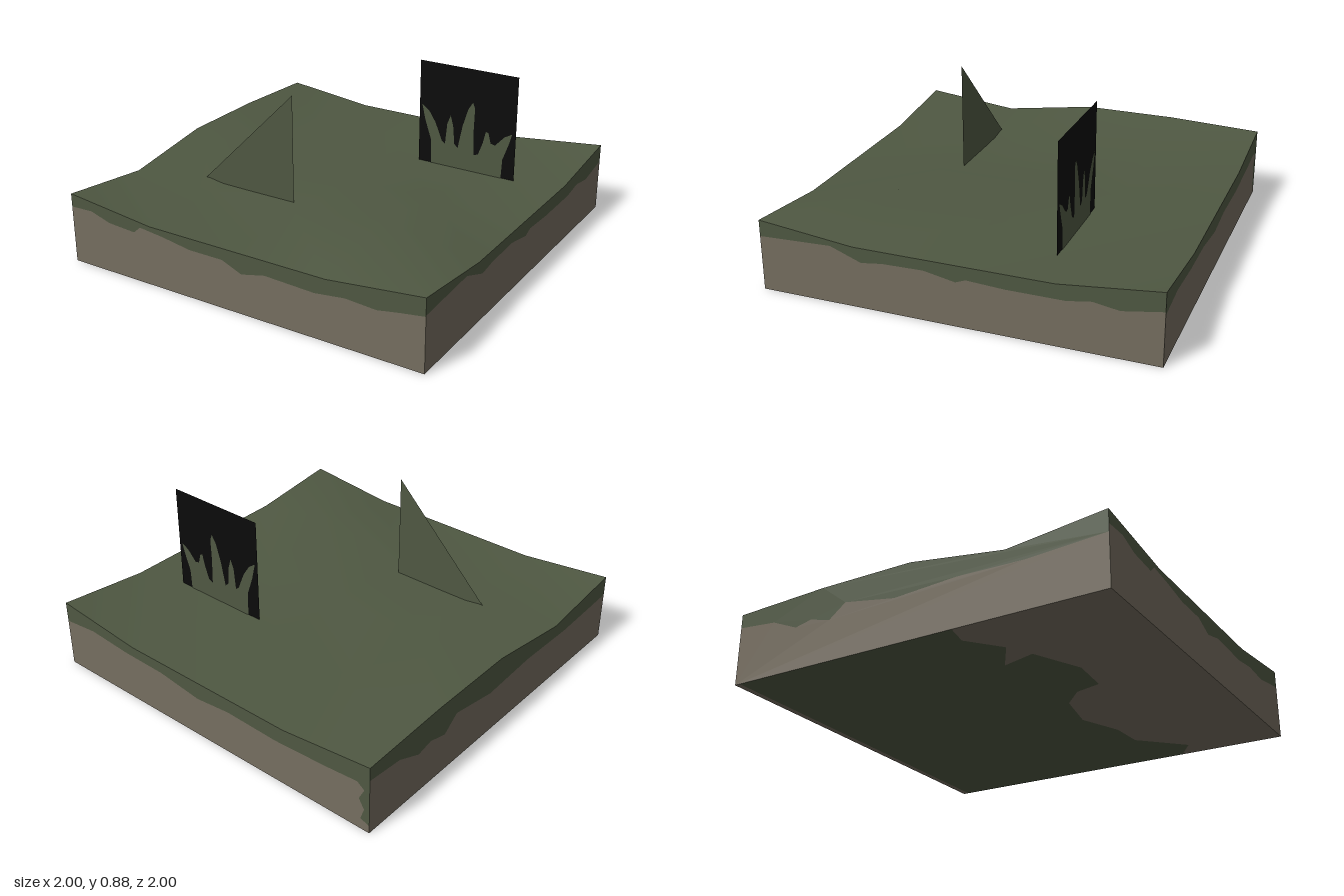
import * as THREE from 'three';

const mat = (name, color, side = THREE.FrontSide) => {
  const m = new THREE.MeshStandardMaterial({ color, side });
  m.name = name;
  return m;
};

// Ground height at grid points spaced 0.5 apart
function height(x, z) {
  const X = Math.round(x * 2), Z = Math.round(z * 2);
  if (Math.abs(X) === 2 && Math.abs(Z) === 2) return 0.37;
  if (X === -2 && (Z === 0 || Z === -1)) return 0.39;
  if (X === 1 && Z === 1) return 0.403;
  return 0.315;
}

const shape = pts => new THREE.ShapeGeometry(new THREE.Shape(pts.map(p => new THREE.Vector2(p[0], p[1]))));

export function createModel() {
  const model = new THREE.Group();
  const grass = mat('grass green', 0x4f5842);
  const sheet = mat('leaf green', 0x4f5842, THREE.DoubleSide);
  const dirt = mat('earth brown', 0x766e60);
  const black = mat('black', 0x0a0a0a, THREE.DoubleSide);

  const add = (name, geometry, material, parent = model) => {
    const mesh = new THREE.Mesh(geometry, material);
    mesh.name = name;
    parent.add(mesh);
    return mesh;
  };

  // Rolling turf on a 4 x 4 grid
  const turf = new THREE.PlaneGeometry(2, 2, 4, 4).rotateX(-Math.PI / 2).rotateY(Math.PI / 2);
  const pos = turf.attributes.position;
  for (let i = 0; i < pos.count; i++) pos.setY(i, height(pos.getX(i), pos.getZ(i)));
  turf.computeVertexNormals();
  add('turf', turf, grass);

  // Walls: earth below a ragged line, grass above it, drawn left to right as seen from outside
  const walls = [
    { name: 'front', turn: 0, line: [[-1, 0.30], [-0.87, 0.305], [-0.76, 0.27], [-0.6, 0.26], [-0.56, 0.295],
      [-0.42, 0.28], [-0.26, 0.255], [-0.07, 0.255], [0.04, 0.21], [0.17, 0.24], [0.44, 0.23], [0.6, 0.25],
      [0.76, 0.24], [0.87, 0.26], [1, 0.28]] },
    { name: 'left', turn: Math.PI / 2, line: [[-1, 0.285], [-0.62, 0.3], [-0.46, 0.24], [-0.35, 0.255], [-0.14, 0.26],
      [0.02, 0.23], [0.07, 0.25], [0.26, 0.24], [0.55, 0.24], [0.67, 0.26], [0.8, 0.24], [1, 0.275]] },
    { name: 'back', turn: Math.PI, line: [[-1, 0.26], [-0.8, 0.28], [-0.55, 0.26], [-0.3, 0.255], [-0.05, 0.22],
      [0.15, 0.24], [0.45, 0.23], [0.75, 0.245], [0.93, 0.26], [0.97, 0.23], [0.94, 0.17], [0.97, 0.12], [0.95, 0.06], [1, 0.04]] },
    { name: 'right', turn: -Math.PI / 2, line: [[-1, 0.3], [-0.79, 0.28], [-0.65, 0.22], [-0.56, 0.24], [-0.45, 0.21],
      [-0.36, 0.28], [-0.08, 0.23], [0.25, 0.25], [0.6, 0.24], [1, 0.26]] },
  ];
  for (const { name, turn, line } of walls) {
    const c = Math.round(Math.cos(turn)), s = Math.round(Math.sin(turn));
    const rim = [1, 0.5, 0, -0.5, -1].map(u => [u, height(u * c + s, c - u * s)]);
    const place = g => g.translate(0, 0, 1).rotateY(turn);
    add(name + 'EarthWall', place(shape([[-1, 0], [1, 0], ...[...line].reverse()])), dirt);
    add(name + 'GrassWall', place(shape([...line, ...rim])), grass);
  }

  // Underside: ragged border between a grass part and an earth part
  const border = [[1, 0.435], [0.875, 0.525], [0.66, 0.31], [0.47, 0.3], [0.25, 0.21], [0.01, 0.26], [-0.1, 0.365],
    [-0.135, 0.5], [-0.35, 0.52], [-0.6, 0.405], [-0.55, 0.23], [-0.72, 0.34], [-0.88, 0.21], [-1, 0.235]];
  const down = g => g.rotateX(Math.PI / 2);
  add('undersideGrass', down(shape([[-1, -0.97], [1, -0.97], ...border])), grass);
  add('undersideEarth', down(shape([...border, [-1, 1], [1, 1]])), dirt);
  add('undersideEdge', down(shape([[-1, -1], [1, -1], [1, -0.97], [-1, -0.97]])), dirt);

  // Upright triangular leaf sheet
  add('leafTriangle', shape([[-0.63, 0.318], [-0.07, 0.312], [-0.07, 0.88]]).translate(0, 0, 0.405), sheet);

  // Upright dark panel with grass blades on both faces
  const panel = new THREE.Group();
  panel.name = 'grassPanel';
  panel.position.z = -0.418;
  model.add(panel);
  add('panelBacking', shape([[0.188, 0.312], [0.748, 0.312], [0.748, 0.88], [0.188, 0.88]]), black, panel);
  const blades = shape([[0.265, 0.313], [0.675, 0.313], [0.68, 0.42], [0.715, 0.52], [0.728, 0.57], [0.685, 0.545],
    [0.635, 0.49], [0.61, 0.495], [0.595, 0.55], [0.58, 0.555], [0.565, 0.49], [0.54, 0.42], [0.515, 0.41],
    [0.51, 0.55], [0.513, 0.67], [0.5, 0.7], [0.475, 0.66], [0.445, 0.56], [0.42, 0.43], [0.4, 0.45],
    [0.39, 0.55], [0.374, 0.605], [0.355, 0.555], [0.345, 0.44], [0.325, 0.455], [0.285, 0.55], [0.245, 0.61],
    [0.203, 0.64], [0.225, 0.55], [0.26, 0.45]]);
  for (const z of [-0.003, 0.003]) add('grassBlades', blades, sheet, panel).position.z = z;

  return model;
}
